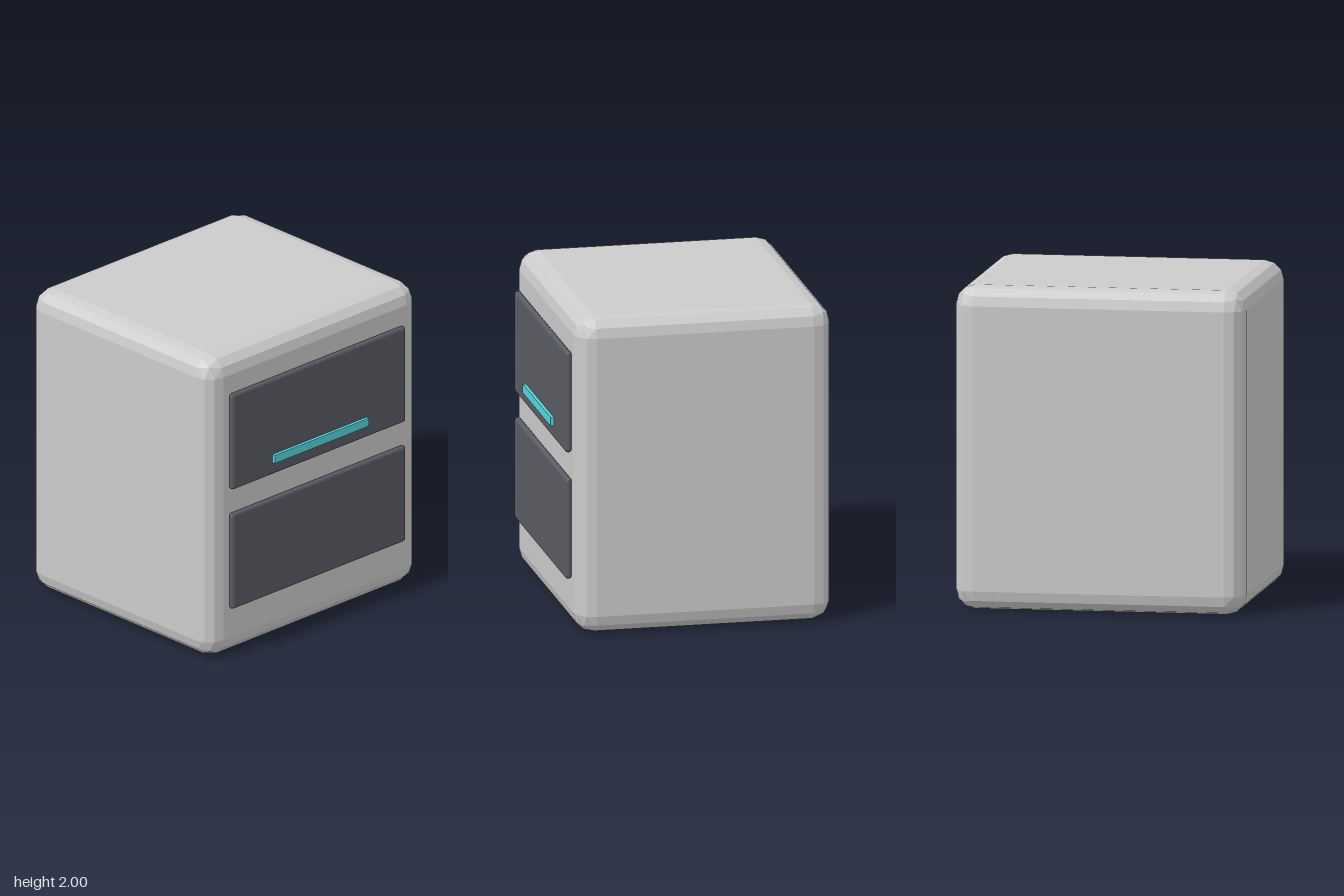
import * as THREE from 'three';
import { ConvexGeometry } from 'three/addons/geometries/ConvexGeometry.js';

// Box with faceted rounded edges: a spherical patch of points on each corner, wrapped in a hull
function bevelledBox(w, h, d, r, steps = 3) {
  const points = [];
  const s = (i) => Math.sin((i / steps) * Math.PI / 2);
  for (const sx of [-1, 1]) for (const sy of [-1, 1]) for (const sz of [-1, 1]) {
    for (let i = 0; i <= steps; i++) for (let j = 0; j <= steps - i; j++) {
      const n = new THREE.Vector3(s(i), s(j), s(steps - i - j)).normalize().multiplyScalar(r);
      points.push(new THREE.Vector3(
        sx * (w / 2 - r + n.x), sy * (h / 2 - r + n.y), sz * (d / 2 - r + n.z)));
    }
  }
  return new ConvexGeometry(points);
}

export function createModel() {
  const group = new THREE.Group();
  const bodyMat = new THREE.MeshStandardMaterial({ color: 0xcccccc, flatShading: true });
  const drawerMat = new THREE.MeshStandardMaterial({ color: 0x595c63, flatShading: true });
  const handleMat = new THREE.MeshStandardMaterial({ color: 0x55d8e0 });

  const add = (name, geometry, material, x, y, z) => {
    const mesh = new THREE.Mesh(geometry, material);
    mesh.name = name;
    mesh.position.set(x, y, z);
    group.add(mesh);
  };

  // Cabinet body
  add('body', bevelledBox(1.8, 2, 1.6, 0.12), bodyMat, 0, 1, -0.03);

  // Two drawer fronts
  const drawer = bevelledBox(1.48, 0.64, 0.04, 0.019);
  add('upperDrawer', drawer, drawerMat, 0, 1.443, 0.79);
  add('lowerDrawer', drawer, drawerMat, 0, 0.643, 0.79);

  // Bright strip handle on the upper drawer
  add('handle', new THREE.BoxGeometry(0.8, 0.055, 0.03), handleMat, 0, 1.233, 0.815);

  return group;
}
